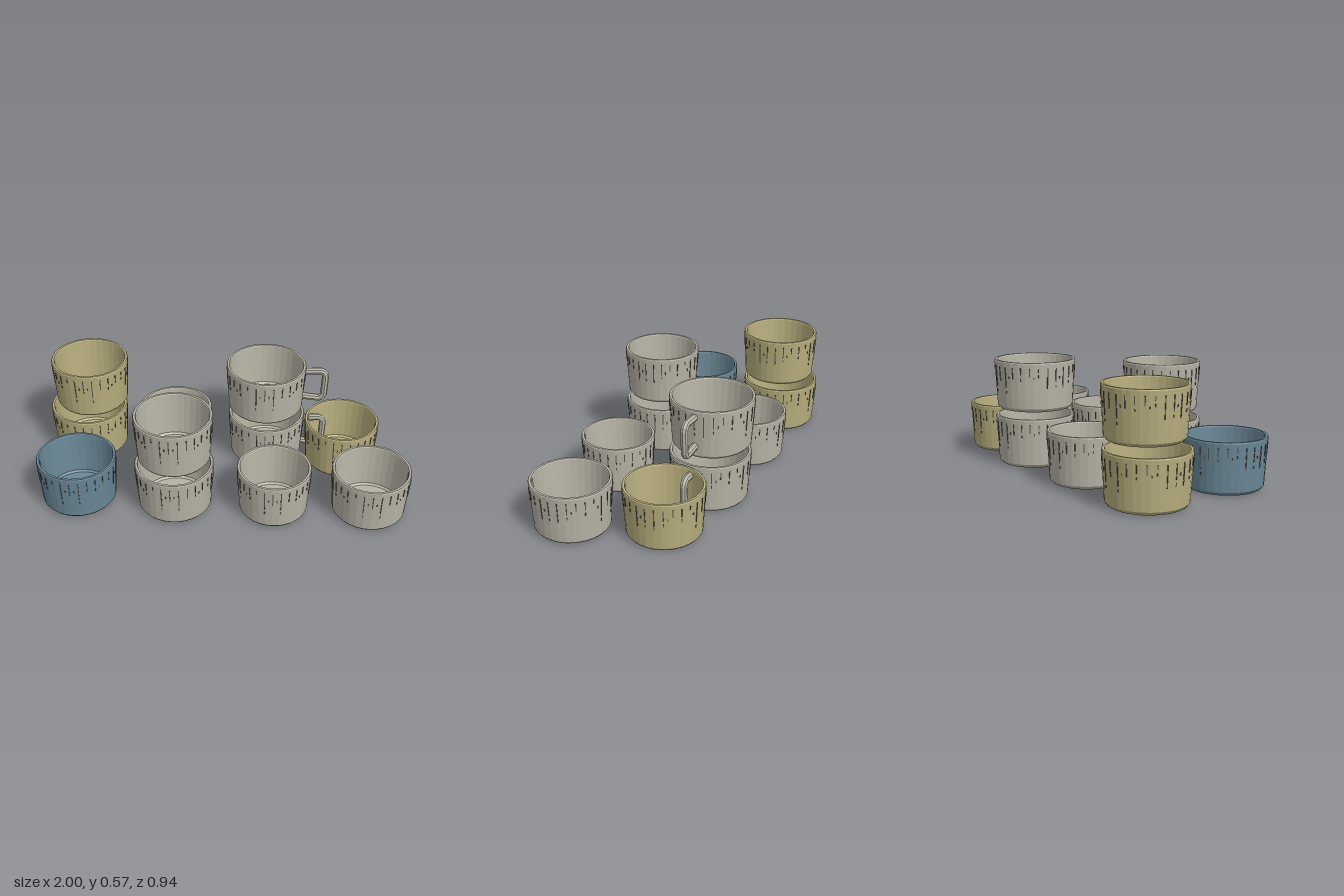
import * as THREE from 'three';
import { mergeGeometries } from 'three/addons/utils/BufferGeometryUtils.js';

const H = 0.265; // cup height
const SIDES = 32;

function material(name, color) {
  const m = new THREE.MeshStandardMaterial({ color });
  m.name = name;
  return m;
}

// Faceted normals
function faceted(geometry) {
  const g = geometry.toNonIndexed();
  g.computeVertexNormals();
  return g;
}

// Closed cup wall: outside with bevelled foot, thin rim, inside and floor
function cupGeometry(r) {
  const points = [
    [0, 0], [r - 0.032, 0], [r - 0.025, 0.004], [r - 0.014, 0.018],
    [r, H - 0.006], [r - 0.003, H], [r - 0.015, H], [r - 0.018, H - 0.006],
    [r - 0.032, 0.03], [r - 0.042, 0.02], [0, 0.02],
  ].map(([x, y]) => new THREE.Vector2(x, y));
  return faceted(new THREE.LatheGeometry(points, SIDES));
}

// Thin glaze streaks and flecks following the sloping wall
function streakGeometry(r) {
  const lengths = [0.075, 0.11, 0.06, 0.04, 0.045, 0.02, 0.11];
  const count = 28;
  const parts = [];
  const add = (angle, top, length) => {
    const y = top - length / 2;
    const radius = r - 0.014 * (H - 0.006 - y) / (H - 0.024);
    const g = new THREE.BoxGeometry(0.005, length, 0.004);
    g.rotateX(0.058);
    g.translate(0, y, radius);
    g.rotateY(angle);
    parts.push(g);
  };
  for (let i = 0; i < count; i++) {
    const angle = (i / count) * Math.PI * 2;
    const length = lengths[i % lengths.length];
    add(angle, 0.236, length);
    if (i % 2) add(angle, 0.22 - length, 0.014);
    if (i % 3 === 0) add(angle + 0.11, 0.19, 0.012);
  }
  return mergeGeometries(parts);
}

// Angular loop handle on the +x side
function handleGeometry(r) {
  const path = new THREE.CurvePath();
  const points = [
    [r - 0.015, 0.228], [r + 0.088, 0.234], [r + 0.107, 0.212],
    [r + 0.102, 0.082], [r + 0.082, 0.06], [r - 0.022, 0.07],
  ].map(([x, y]) => new THREE.Vector3(x, y, 0));
  for (let i = 1; i < points.length; i++) {
    path.add(new THREE.LineCurve3(points[i - 1], points[i]));
  }
  return faceted(new THREE.TubeGeometry(path, 40, 0.019, 8, false));
}

export function createModel() {
  const root = new THREE.Group();
  root.name = 'cupCollection';
  const stone = material('stoneGlaze', 0xb7b4a6);
  const ochre = material('ochreGlaze', 0xb8ae7e);
  const blue = material('blueGlaze', 0x6b8897);
  const dark = material('darkStreaks', 0x55534b);

  // x, z, radius, level, glaze, has handle
  const cups = [
    [-0.785, -0.255, 0.215, 0, ochre],
    [-0.76, -0.25, 0.21, 1, ochre],
    [-0.29, -0.255, 0.205, 0, stone],
    [0.225, -0.25, 0.212, 0, stone, true],
    [0.217, -0.253, 0.218, 1, stone, true],
    [0.645, -0.195, 0.205, 0, ochre],
    [-0.762, 0.245, 0.21, 0, blue],
    [-0.24, 0.257, 0.208, 0, stone],
    [-0.237, 0.26, 0.204, 1, stone],
    [0.285, 0.26, 0.195, 0, stone],
    [0.79, 0.24, 0.206, 0, stone],
  ];

  cups.forEach(([x, z, r, level, glaze, handled], i) => {
    const cup = new THREE.Group();
    cup.name = `cup${i + 1}`;
    cup.position.set(x, level * 0.304, z);
    const add = (name, geometry, mat) => {
      const mesh = new THREE.Mesh(geometry, mat);
      mesh.name = name;
      cup.add(mesh);
    };
    add('cupBody', cupGeometry(r), glaze);
    add('glazeStreaks', streakGeometry(r), dark);
    if (handled) add('handle', handleGeometry(r), glaze);
    root.add(cup);
  });
  return root;
}
